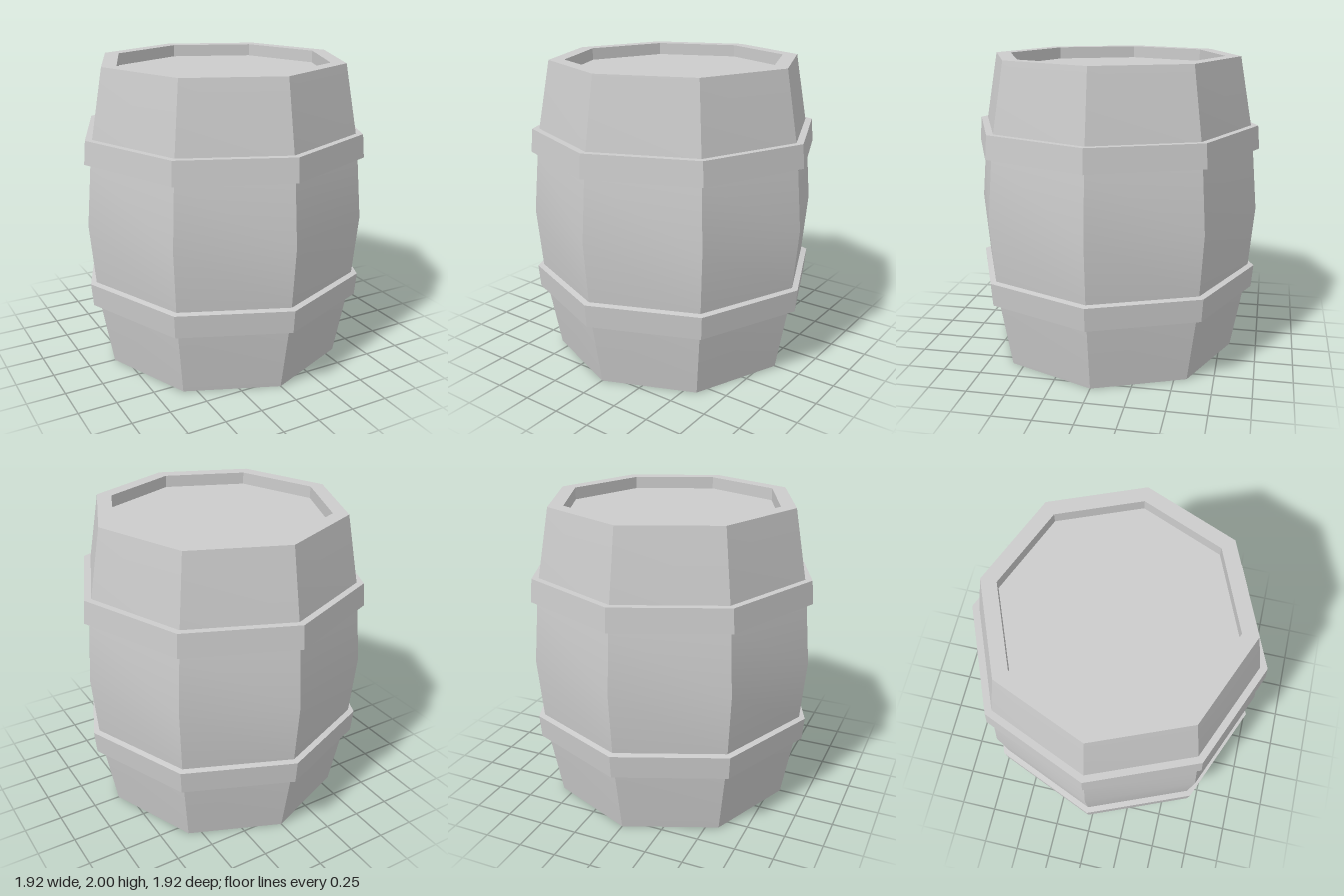
import * as THREE from 'three';
import { toCreasedNormals } from 'three/addons/utils/BufferGeometryUtils.js';

const SIDES = 8;
const material = new THREE.MeshStandardMaterial({ color: 0xcccccc });

// Eight-sided turned part: smooth along the stave curve, sharp between staves
function turned(name, profile) {
  const points = profile.map(([r, y]) => new THREE.Vector2(r, y));
  const geometry = toCreasedNormals(new THREE.LatheGeometry(points, SIDES), 0.35);
  const mesh = new THREE.Mesh(geometry, material);
  mesh.name = name;
  return mesh;
}

// Mirror a profile about mid height, keeping its bottom-to-top order
const flip = (profile) => profile.map(([r, y]) => [r, 2 - y]).reverse();

export function createModel() {
  const group = new THREE.Group();
  group.name = 'barrel';

  // Bulging body with a recessed head at each end
  const lower = [[0, 0.08], [0.72, 0.08], [0.72, 0], [0.82, 0], [0.9, 0.44], [0.92, 0.6]];
  group.add(turned('barrelBody', [...lower, [0.955, 1], ...flip(lower)]));

  // Hoops, slightly conical to follow the bulge
  const hoop = [[0.89, 0.443], [0.947, 0.443], [0.96, 0.595], [0.91, 0.604]];
  group.add(turned('lowerHoop', hoop));
  group.add(turned('upperHoop', flip(hoop)));

  return group;
}
